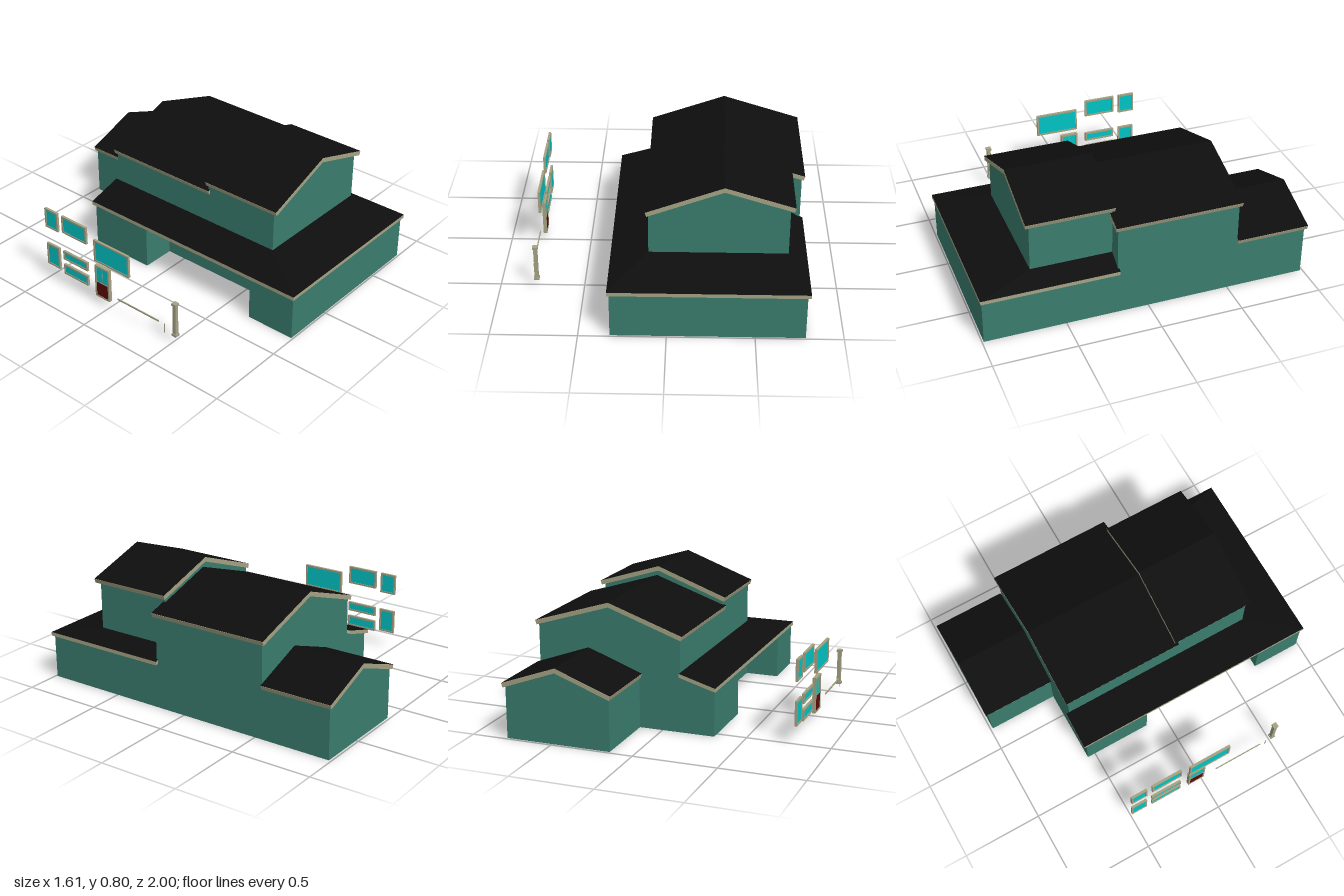
import * as THREE from 'three';

const paint = (color) => new THREE.MeshStandardMaterial({ color, side: THREE.DoubleSide, flatShading: true });
const WALL = paint(0x3a7c6d), TRIM = paint(0xa5a284), ROOF = paint(0x0e0e0e), GLASS = paint(0x00c4c4), DOOR = paint(0x5c0808);

// One mesh out of flat convex polygons, each a list of [x, y, z] corners
function panels(name, polys, material) {
  const pos = [];
  for (const p of polys) {
    for (let i = 1; i < p.length - 1; i++) pos.push(...p[0], ...p[i], ...p[i + 1]);
  }
  const g = new THREE.BufferGeometry();
  g.setAttribute('position', new THREE.Float32BufferAttribute(pos, 3));
  g.computeVertexNormals();
  const m = new THREE.Mesh(g, material);
  m.name = name;
  return m;
}

// Upright rectangle between two ground points [x, z]
const wall = ([xa, za], [xb, zb], y0, y1) => [[xa, y0, za], [xb, y0, zb], [xb, y1, zb], [xa, y1, za]];

// Pentagon-shaped end wall
const gable = (b, z, y0) => [[b.x0, y0, z], [b.x1, y0, z], [b.x1, b.h1, z], [b.ridge[0], b.ridge[1] - 0.027, z], [b.x0, b.h0, z]];

function box(name, x0, x1, y0, y1, z0, z1, material) {
  const m = new THREE.Mesh(new THREE.BoxGeometry(x1 - x0, y1 - y0, z1 - z0), material);
  m.position.set((x0 + x1) / 2, (y0 + y1) / 2, (z0 + z1) / 2);
  m.name = name;
  return m;
}

// Pitched roof: trim slab with dark covering; l, ridge and r are [x, y] on the top surface
function gableRoof(name, l, ridge, r, z0, z1) {
  const group = new THREE.Group();
  group.name = name;
  const t = 0.025, s = new THREE.Shape();
  s.moveTo(...l);
  s.lineTo(...ridge);
  s.lineTo(...r);
  s.lineTo(r[0] - 0.008, r[1] - t);
  s.lineTo(ridge[0], ridge[1] - t - 0.002);
  s.lineTo(l[0] + 0.008, l[1] - t);
  const slab = new THREE.Mesh(new THREE.ExtrudeGeometry(s, { depth: z1 - z0, bevelEnabled: false }), TRIM);
  slab.position.z = z0;
  slab.name = name + 'Slab';
  const up = 0.0015;
  const slope = (a, b) => [[a[0], a[1] + up, z0], [a[0], a[1] + up, z1], [b[0], b[1] + up, z1], [b[0], b[1] + up, z0]];
  group.add(slab, panels(name + 'Covering', [slope(l, ridge), slope(ridge, r)], ROOF));
  return group;
}

// Framed window standing in the yz plane
function framedWindow(name, z0, z1, y0, y1, x0 = -0.798, x1 = -0.783) {
  const group = new THREE.Group(), f = 0.011;
  group.name = name;
  group.add(
    box('frameBottom', x0, x1, y0, y0 + f, z0, z1, TRIM),
    box('frameTop', x0, x1, y1 - f, y1, z0, z1, TRIM),
    box('frameSide', x0, x1, y0 + f, y1 - f, z0, z0 + f, TRIM),
    box('frameSide', x0, x1, y0 + f, y1 - f, z1 - f, z1, TRIM),
    box('glass', x0 + 0.004, x1 - 0.004, y0 + f, y1 - f, z0 + f, z1 - f, GLASS));
  return group;
}

export function createModel() {
  const model = new THREE.Group();

  // Ground floor walls with the recessed porch on the right side
  const X0 = -0.32, X1 = 0.785, IN = -0.11, H = 0.285;
  const path = [[X1, -0.55], [X1, 0.99], [X0, 0.99], [X0, 0.68], [IN, 0.68], [IN, -0.125], [X0, -0.125], [X0, -0.55], [IN, -0.55]];
  const ground = path.slice(1).map((p, i) => wall(path[i], p, 0, H));
  ground.push([[X0, H, -0.55], [IN, H, -0.55], [IN, 0.34, -0.55]]);
  model.add(panels('groundFloorWalls', ground, WALL));

  // Upper front block
  const front = { x0: IN, x1: 0.69, h0: 0.615, h1: 0.656, ridge: [0.318, 0.80] };
  model.add(panels('upperFrontWalls', [
    gable(front, 0.68, 0.35), gable(front, 0.19, 0.55),
    wall([IN, 0.19], [IN, 0.68], 0.33, front.h0),
    wall([0.69, 0.19], [0.69, 0.68], 0.33, front.h1)], WALL));
  model.add(gableRoof('upperFrontRoof', [-0.127, 0.635], front.ridge, [0.718, 0.675], 0.18, 0.705));

  // Middle block
  const middle = { x0: IN, x1: X1, h0: 0.56, h1: 0.572, ridge: [0.33, 0.74] };
  model.add(panels('middleWalls', [
    gable(middle, -0.55, 0),
    wall([IN, -0.55], [IN, 0.19], 0.33, middle.h0),
    wall([X1, -0.55], [X1, 0.19], H, middle.h1),
    [[0.69, H, 0.19], [X1, H, 0.19], [X1, middle.h1, 0.19], [0.69, 0.6, 0.19]]], WALL));
  model.add(gableRoof('middleRoof', [-0.127, 0.58], middle.ridge, [0.803, 0.593], -0.565, 0.205));

  // Rear block
  const rear = { x0: 0.143, x1: X1, h0: 0.31, h1: 0.312, ridge: [0.465, 0.455] };
  model.add(panels('rearWalls', [
    gable(rear, -0.985, 0),
    wall([rear.x0, -0.985], [rear.x0, -0.55], 0, rear.h0),
    wall([X1, -0.985], [X1, -0.55], 0, rear.h1)], WALL));
  model.add(gableRoof('rearRoof', [0.127, 0.33], rear.ridge, [0.803, 0.333], -1, -0.55));

  // Skirt roof wrapping the ground floor: outer and inner edges in plan
  const outer = [[0.803, 0.18], [0.803, 1], [-0.332, 1], [-0.332, -0.57]];
  const inner = [[0.69, 0.18], [0.69, 0.68], [IN, 0.68], [IN, -0.57]];
  const at = ([x, z], y) => [x, y, z];
  const lo = 0.297, hi = 0.362, t = 0.023;
  const tops = [], trims = [];
  for (let i = 0; i < 3; i++) {
    const ring = (d) => [at(outer[i], lo - d), at(outer[i + 1], lo - d), at(inner[i + 1], hi - d), at(inner[i], hi - d)];
    tops.push(ring(0));
    trims.push(ring(t), wall(outer[i], outer[i + 1], lo - t, lo));
  }
  for (const i of [0, 3]) trims.push([at(outer[i], lo), at(inner[i], hi), at(inner[i], hi - t), at(outer[i], lo - t)]);
  model.add(panels('skirtRoofCovering', tops, ROOF), panels('skirtRoofTrim', trims, TRIM));

  // Loose windows beside the house: z range, y range
  [[-0.10, 0.175, 0.30, 0.447], [-0.36, -0.16, 0.385, 0.50], [-0.50, -0.395, 0.37, 0.50],
    [-0.36, -0.16, 0.195, 0.255], [-0.36, -0.16, 0.09, 0.16], [-0.50, -0.395, 0.105, 0.255],
  ].forEach((w, i) => model.add(framedWindow('window' + (i + 1), ...w)));

  // Loose door with a glazed upper half
  const door = framedWindow('door', -0.10, 0.012, 0.052, 0.272, -0.797, -0.775);
  door.add(box('doorPanel', -0.795, -0.777, 0.063, 0.155, -0.089, 0.001, DOOR));
  door.add(box('glazingBar', -0.795, -0.777, 0.15, 0.16, -0.089, 0.001, TRIM));
  door.add(box('glazingBar', -0.795, -0.777, 0.16, 0.261, -0.046, -0.042, TRIM));
  model.add(door);

  // Loose porch post, handrail and baluster
  const post = new THREE.Group();
  post.name = 'porchPost';
  post.add(
    box('postShaft', -0.793, -0.77, 0.066, 0.266, 0.504, 0.526, TRIM),
    box('postBase', -0.798, -0.766, 0.053, 0.068, 0.499, 0.531, TRIM),
    box('postCap', -0.798, -0.766, 0.264, 0.279, 0.499, 0.531, TRIM));
  model.add(post);
  model.add(box('handrail', -0.808, -0.802, 0.112, 0.121, 0.09, 0.41, TRIM));
  model.add(box('baluster', -0.806, -0.803, 0.055, 0.12, 0.449, 0.453, TRIM));

  return model;
}
